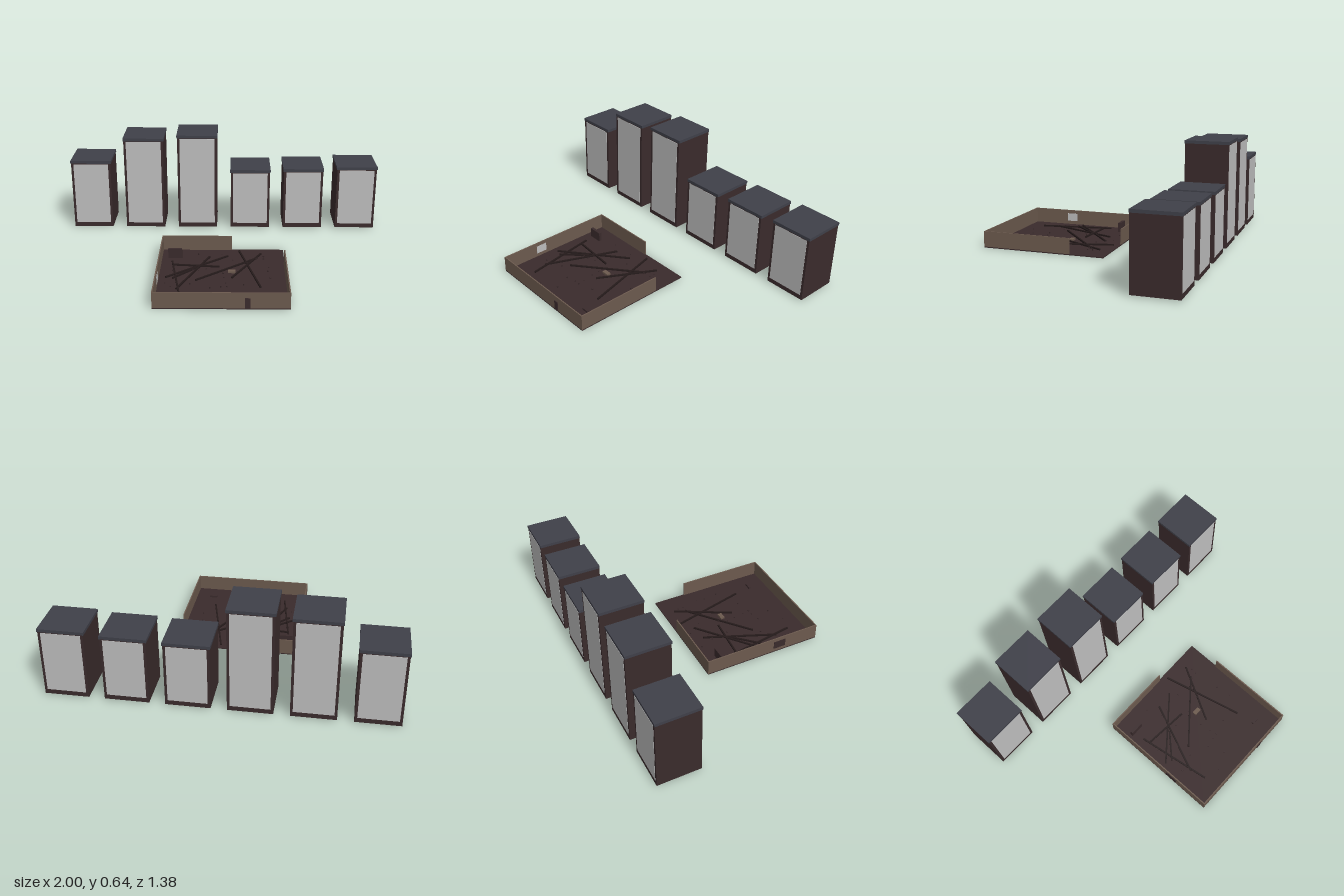
import * as THREE from 'three';

const mat = (name, color) => {
  const m = new THREE.MeshStandardMaterial({ color });
  m.name = name;
  return m;
};

export function createModel() {
  const group = new THREE.Group();
  const dark = mat('dark brown', 0x3a2b2c);
  const wall = mat('wall brown', 0x6c5a4e);
  const slate = mat('roof slate', 0x3f4049);
  const grey = mat('facade grey', 0xbebebe);
  const char = mat('charred wood', 0x251b1b);

  // Box given by its min and max corners
  const box = (parent, name, m, [x0, y0, z0], [x1, y1, z1]) => {
    const mesh = new THREE.Mesh(new THREE.BoxGeometry(x1 - x0, y1 - y0, z1 - z0), m);
    mesh.position.set((x0 + x1) / 2, (y0 + y1) / 2, (z0 + z1) / 2);
    mesh.name = name;
    parent.add(mesh);
    return mesh;
  };

  // Row of buildings with grey facades front and back
  const zc = -0.561, half = 0.132;
  [0.467, 0.62, 0.641, 0.409, 0.417, 0.431].forEach((top, i) => {
    const b = new THREE.Group();
    b.name = 'building' + (i + 1);
    b.position.set(-0.868 + i * 0.3472, 0, zc);
    group.add(b);
    const w = 0.128, d = 0.13, eave = top - 0.018;
    box(b, 'body', dark, [-w, 0.008, -d], [w, eave, d]);
    box(b, 'roof', slate, [-half, eave, -half], [half, top, half]);
    for (const s of [-1, 1]) {
      const f = box(b, s > 0 ? 'frontFacade' : 'backFacade', grey,
        [-0.113, 0.037, -0.001], [0.113, eave - 0.005, 0.001]);
      f.position.z = s * (d + 0.0005);
    }
  });

  // Ruined house: floor and broken walls
  const ruin = new THREE.Group();
  ruin.name = 'ruin';
  group.add(ruin);
  const x0 = -0.379, x1 = 0.375, z0 = -0.071, z1 = 0.685, t = 0.007, h = 0.1, f = 0.006;
  box(ruin, 'floor', dark, [x0, 0, z0], [x1, f, z1]);
  box(ruin, 'frontWall', wall, [x0, f, z1 - t], [x1, h, z1]);
  box(ruin, 'rightWall', wall, [x0, f, z0 + t], [x0 + t, h, z1 - t]);
  box(ruin, 'leftWall', wall, [x1 - t, f, 0.138], [x1, h, z1 - t]);
  box(ruin, 'backWall', wall, [x0, f, z0], [0.055, h, z0 + t]);

  // Door, side window and fallen pieces
  box(ruin, 'door', dark, [0.127, f, z1], [0.156, 0.068, z1 + 0.004]);
  box(ruin, 'windowFrame', dark, [x0 - 0.003, 0.028, 0.38], [x0, 0.078, 0.46]);
  box(ruin, 'windowPane', grey, [x0 + t, 0.028, 0.385], [x0 + t + 0.002, 0.078, 0.455]);
  box(ruin, 'standingPanel', dark, [-0.335, f, 0.038], [-0.25, 0.065, 0.056]);
  box(ruin, 'fallenBrick', wall, [0.033, f, 0.236], [0.078, 0.018, 0.262]);
  box(ruin, 'lowBlock', dark, [0.232, f, 0.558], [0.28, 0.018, 0.572]);

  // Charred beams lying across the floor: x, z to x, z
  [
    [0.10, -0.04, 0.22, 0.45], [0.235, 0, 0.055, 0.33], [0.21, 0.065, -0.155, 0.365],
    [0.03, 0.04, -0.33, 0.33], [-0.08, 0.05, -0.26, 0.475], [-0.305, 0.12, -0.235, 0.57],
    [-0.30, 0.165, -0.02, 0.19], [-0.16, 0.21, -0.29, 0.345],
  ].forEach(([ax, az, bx, bz], i) => {
    const len = Math.hypot(bx - ax, bz - az);
    const beam = new THREE.Mesh(new THREE.BoxGeometry(len, 0.009, 0.01), char);
    beam.position.set((ax + bx) / 2, 0.0115 + i * 0.0004, (az + bz) / 2);
    beam.rotation.y = -Math.atan2(bz - az, bx - ax);
    beam.name = 'beam' + (i + 1);
    ruin.add(beam);
  });

  // Small rubble scattered with a seeded sequence
  let seed = 7;
  const rnd = () => (seed = (seed * 16807) % 2147483647) / 2147483647;
  for (let i = 0; i < 30; i++) {
    const s = 0.004 + rnd() * 0.005;
    const r = new THREE.Mesh(new THREE.BoxGeometry(s, s, s), dark);
    r.position.set(-0.33 + rnd() * 0.66, f + s / 2, rnd() * 0.64);
    r.rotation.y = rnd() * 3;
    r.name = 'rubble';
    ruin.add(r);
  }
  return group;
}
